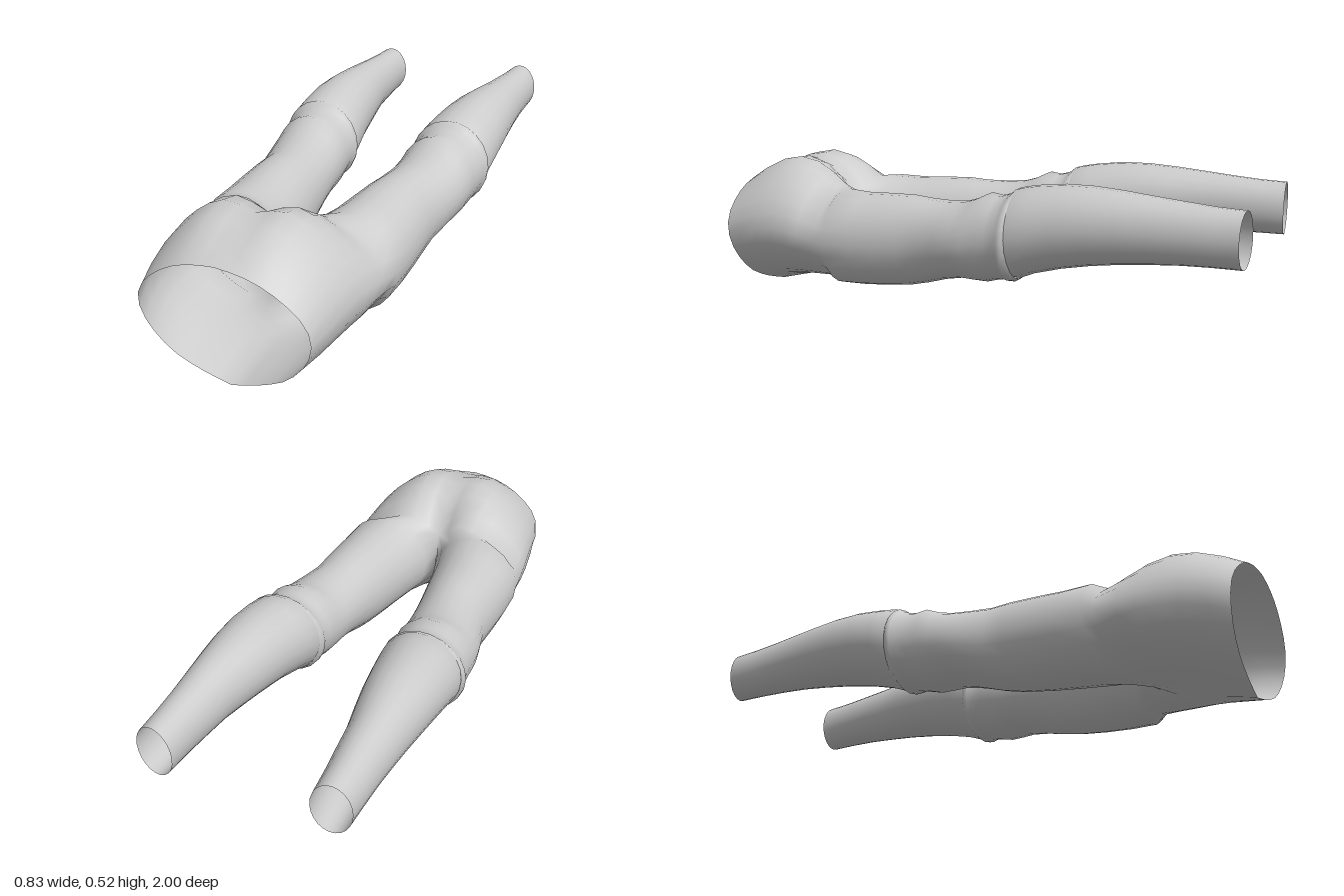
import * as THREE from 'three';
import { mergeVertices } from 'three/addons/utils/BufferGeometryUtils.js';

const OUTER = 16;                 // steps round the outer arc of a half
const INNER = 6;                  // steps across the inner side of a leg
const ARC = THREE.MathUtils.degToRad(130);

// Half of a hip section, from the top centre round the side to the bottom centre
function hipArc({ z, o, topC, top, mid, bot, botC, tilt = 0 }) {
  const h = top - mid, d = mid - bot;
  const pts = [
    [0, topC], [0.31 * o, top], [0.63 * o, mid + 0.78 * h], [0.92 * o, mid + 0.36 * h], [o, mid],
    [0.93 * o, mid - 0.35 * d], [0.68 * o, mid - 0.72 * d], [0.36 * o, mid - 0.92 * d], [0, botC],
  ].map(([x, y]) => new THREE.Vector3(x, y, z - tilt * (0.44 - y) / 0.44));
  return new THREE.CatmullRomCurve3(pts).getSpacedPoints(OUTER);
}

// Closed section of one leg: outer arc first, then the inner side
function legRing([z, o, i, top, bot]) {
  const cx = (o + i) / 2, rx = (o - i) / 2, cy = (top + bot) / 2, ry = (top - bot) / 2;
  const ring = [];
  for (let k = 0; k < OUTER + INNER; k++) {
    const a = k <= OUTER
      ? ARC - 2 * ARC * k / OUTER
      : -ARC - (2 * Math.PI - 2 * ARC) * (k - OUTER) / INNER;
    ring.push(new THREE.Vector3(cx + rx * Math.cos(a), cy + ry * Math.sin(a), z));
  }
  return ring;
}

// Joins successive sections; 'mirror' builds the other side with flipped faces
function loft(rings, closed, out, mirror) {
  const n = rings[0].length, base = out.pos.length / 3;
  rings.forEach(r => r.forEach(p => out.pos.push(mirror ? -p.x : p.x, p.y, p.z)));
  for (let r = 0; r < rings.length - 1; r++) {
    for (let k = 0; k < (closed ? n : n - 1); k++) {
      const a = base + r * n + k, b = base + r * n + (k + 1) % n, c = a + n, d = b + n;
      if (mirror) out.idx.push(a, c, b, b, c, d);
      else out.idx.push(a, b, c, b, d, c);
    }
  }
}

function toMesh(out, name, material) {
  let geo = new THREE.BufferGeometry();
  geo.setAttribute('position', new THREE.Float32BufferAttribute(out.pos, 3));
  geo.setIndex(out.idx);
  geo = mergeVertices(geo, 1e-4);
  geo.computeVertexNormals();
  const mesh = new THREE.Mesh(geo, material);
  mesh.name = name;
  return mesh;
}

export function createModel() {
  const group = new THREE.Group();
  group.name = 'trousers';
  const cloth = new THREE.MeshStandardMaterial({ color: 0xcccccc, side: THREE.DoubleSide });

  // Hips, from the open waist to the crotch
  const hips = [
    { z: 1.0, o: 0.293, topC: 0.437, top: 0.425, mid: 0.25, bot: 0.015, botC: 0.002, tilt: 0.06 },
    { z: 0.92, o: 0.313, topC: 0.465, top: 0.47, mid: 0.255, bot: 0.03, botC: 0.018, tilt: 0.045 },
    { z: 0.83, o: 0.328, topC: 0.495, top: 0.51, mid: 0.26, bot: 0.045, botC: 0.036, tilt: 0.03 },
    { z: 0.75, o: 0.338, topC: 0.503, top: 0.525, mid: 0.26, bot: 0.055, botC: 0.052, tilt: 0.015 },
    { z: 0.68, o: 0.347, topC: 0.475, top: 0.51, mid: 0.26, bot: 0.06, botC: 0.07 },
    { z: 0.62, o: 0.353, topC: 0.42, top: 0.475, mid: 0.26, bot: 0.065, botC: 0.1 },
  ].map(hipArc);

  // Crotch section, swept forward towards the centre line
  const crotch = hipArc({ z: 0.54, o: 0.357, topC: 0.36, top: 0.432, mid: 0.255, bot: 0.07, botC: 0.15 });
  crotch.forEach(p => { p.z += 0.045 * (1 - p.x / 0.357) ** 2; });
  const crotchRing = [...crotch];
  for (let k = 1; k < INNER; k++) {
    const u = k / INNER;
    crotchRing.push(new THREE.Vector3(0, 0.15 + 0.21 * u, 0.585 - 0.025 * Math.sin(Math.PI * u)));
  }

  // Thighs down to the cuff at the knee: [z, outer x, inner x, top, bottom]
  const thigh = [
    [0.5, 0.359, 0.02, 0.428, 0.08], [0.4, 0.36, 0.045, 0.425, 0.086],
    [0.3, 0.358, 0.063, 0.43, 0.096], [0.2, 0.355, 0.08, 0.433, 0.11],
    [0.13, 0.356, 0.09, 0.428, 0.127], [0.05, 0.374, 0.1, 0.428, 0.152],
    [-0.02, 0.388, 0.106, 0.433, 0.167], [-0.07, 0.393, 0.11, 0.448, 0.166],
    [-0.12, 0.396, 0.113, 0.472, 0.166], [-0.16, 0.4, 0.117, 0.466, 0.178],
    [-0.195, 0.405, 0.12, 0.475, 0.185], [-0.212, 0.414, 0.113, 0.483, 0.18],
    [-0.228, 0.414, 0.113, 0.497, 0.181], [-0.24, 0.404, 0.123, 0.494, 0.192],
  ].map(legRing);

  // Lower legs, tucked into the cuff and open at the ankle
  const shin = [
    [-0.22, 0.402, 0.124, 0.488, 0.195], [-0.245, 0.408, 0.12, 0.502, 0.195],
    [-0.3, 0.409, 0.127, 0.512, 0.218], [-0.4, 0.406, 0.145, 0.524, 0.246],
    [-0.5, 0.399, 0.161, 0.525, 0.266], [-0.6, 0.389, 0.18, 0.519, 0.281],
    [-0.7, 0.379, 0.2, 0.51, 0.292], [-0.8, 0.371, 0.21, 0.501, 0.3],
    [-0.9, 0.366, 0.221, 0.493, 0.304], [-1.0, 0.362, 0.23, 0.49, 0.305],
  ].map(legRing);
  // Ankle opening cut at a slight slant
  shin[shin.length - 1].forEach(p => { p.z += 0.012 * (p.x - 0.23) / 0.132; });

  const body = { pos: [], idx: [] };
  for (const mirror of [false, true]) {
    loft([...hips, crotch], false, body, mirror);
    loft([crotchRing, ...thigh], true, body, mirror);
    const leg = { pos: [], idx: [] };
    loft(shin, true, leg, mirror);
    group.add(toMesh(leg, mirror ? 'rightLowerLeg' : 'leftLowerLeg', cloth));
  }
  group.add(toMesh(body, 'hipsAndThighs', cloth));
  return group;
}
